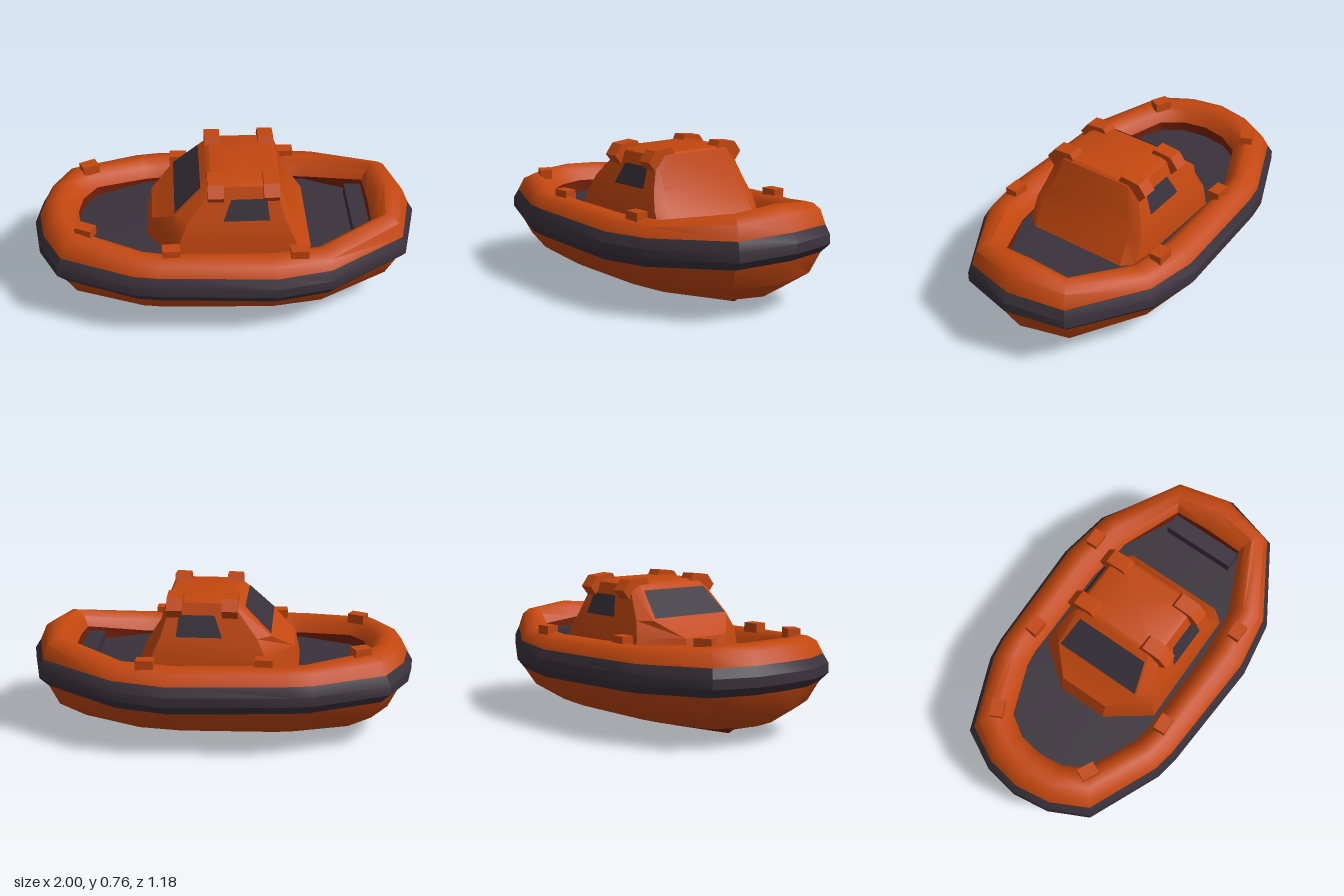
import * as THREE from 'three';
import { toCreasedNormals } from 'three/addons/utils/BufferGeometryUtils.js';

const mat = (name, color) => Object.assign(new THREE.MeshStandardMaterial({ color }), { name });

// Mirrors a half outline (from +x end round to -x end, both on z = 0 if closed) into a full loop
const mirrorLoop = (half) => [
  ...half,
  ...half.filter((p) => Math.abs(p.z) > 1e-6 || p.pair).reverse().map((p) => ({ ...p, z: -p.z, iz: -p.iz })),
];

// Skins a list of equal-length closed rings of [x, y, z]
function loft(rings, crease = 0.6) {
  const n = rings[0].length;
  const index = [];
  for (let j = 0; j < rings.length - 1; j++) {
    for (let i = 0; i < n; i++) {
      const k = (i + 1) % n;
      const a = j * n + i, b = j * n + k, c = b + n, d = a + n;
      index.push(a, d, c, a, c, b);
    }
  }
  const g = new THREE.BufferGeometry();
  g.setAttribute('position', new THREE.Float32BufferAttribute(rings.flat(2), 3));
  g.setIndex(index);
  return toCreasedNormals(g, crease);
}

// A thin pane laid on the face p00-p10-p11-p01, from u0..u1 (bottom, top) and v0..v1
function pane(p00, p10, p11, p01, [u0, u1], [v0, v1], lift = 0.006) {
  const at = (u, v) => p00.clone().lerp(p10, u).lerp(p01.clone().lerp(p11, u), v);
  const q = [at(u0, v0), at(u1, v0), at(u1, v1), at(u0, v1)];
  const normal = q[1].clone().sub(q[0]).cross(q[3].clone().sub(q[0])).normalize();
  if (normal.y < 0) normal.negate();
  q.forEach((p) => p.addScaledVector(normal, lift));
  const g = new THREE.BufferGeometry().setFromPoints(q);
  g.setIndex([0, 1, 2, 0, 2, 3]);
  g.computeVertexNormals();
  return g;
}

export function createModel() {
  const boat = new THREE.Group();
  boat.name = 'inflatableBoat';
  const orange = mat('orange', 0xc2470f);
  const dark = mat('darkGrey', 0x3a323b);
  const red = mat('darkRed', 0x7a220b);
  const glass = mat('windowGrey', 0x38313a);
  glass.side = THREE.DoubleSide;
  const add = (name, geometry, material, parent = boat) => {
    const m = new THREE.Mesh(geometry, material);
    m.name = name;
    parent.add(m);
    return m;
  };

  // Plan stations: outer x, z; inner x, z; sheer rise; tube top height
  const stations = mirrorLoop([
    [1.0, 0, 0.75, 0, 0.035, 0.55],
    [0.92, 0.3, 0.75, 0.2, 0.02, 0.528],
    [0.52, 0.545, 0.45, 0.34, 0, 0.465],
    [0.24, 0.592, 0.2, 0.37, -0.01, 0.46],
    [-0.37, 0.565, -0.33, 0.365, 0, 0.468],
    [-0.49, 0.545, -0.42, 0.35, 0, 0.472],
    [-0.87, 0.385, -0.68, 0.24, 0.01, 0.5],
    [-0.97, 0.19, -0.75, 0.13, 0.015, 0.505],
    [-1.0, 0, -0.77, 0, 0.02, 0.51],
  ].map(([x, z, ix, iz, dy, top]) => ({ x, z, ix, iz, dy, top })));

  const hullRing = (sx, sz, y, rise = 0) => stations.map((s) => [s.x * sx, y + rise * s.dy, s.z * sz]);
  const tubeRing = (t, yOf) => stations.map((s) => [
    THREE.MathUtils.lerp(s.x, s.ix, t), yOf(s), THREE.MathUtils.lerp(s.z, s.iz, t),
  ]);

  // Shallow V hull: dark bottom and orange sides
  const chine = hullRing(0.77, 0.6, 0.075);
  const hullTop = hullRing(0.95, 0.95, 0.255, 1);
  add('hullBottom', loft([hullRing(0.56, 0, 0.003), hullRing(0.6, 0.3, 0.03), chine]), red);
  add('hullSide', loft([chine, hullRing(0.9, 0.85, 0.165), hullTop]), orange);

  // Rubbing band round the widest line
  const bandTop = tubeRing(0.12, (s) => 0.398 + s.dy);
  add('rubbingBand', loft([
    hullTop,
    tubeRing(0, (s) => 0.3 + s.dy),
    tubeRing(0, (s) => 0.35 + s.dy),
    bandTop,
  ], 0.5), dark);

  // Inflated tube
  const innerLow = tubeRing(1, (s) => s.top - 0.085);
  add('tube', loft([
    bandTop,
    tubeRing(0.26, (s) => THREE.MathUtils.lerp(0.4 + s.dy, s.top, 0.68)),
    tubeRing(0.45, (s) => s.top - 0.006),
    tubeRing(0.65, (s) => s.top),
    tubeRing(0.86, (s) => s.top - 0.03),
    innerLow,
  ], 0.8), orange);
  const deckEdge = tubeRing(0.97, () => 0.36);
  add('tubeInnerWall', loft([innerLow, deckEdge]), red);

  // Deck and end bench
  add('deck', loft([deckEdge, stations.map(() => [0, 0.362, 0])]), dark);
  add('bench', new THREE.BoxGeometry(0.09, 0.06, 0.4), dark).position.set(0.7, 0.39, 0);

  // Cabin: faceted rings; each level lists back, back shoulder, front shoulder, nose as x, z
  const levels = [
    [0.36, [0.43, 0.27], [0.38, 0.335], [-0.25, 0.345], [-0.41, 0.13]],
    [0.475, [0.355, 0.265], [0.33, 0.328], [-0.24, 0.33], [-0.385, 0.135]],
    [0.56, [0.315, 0.25], [0.29, 0.3], [-0.2, 0.302], [-0.27, 0.245]],
    [0.725, [0.265, 0.2], [0.24, 0.24], [-0.07, 0.24], [-0.1, 0.2]],
    [0.737, [0.25, 0.18], [0.22, 0.21], [-0.06, 0.21], [-0.08, 0.18]],
  ];
  const cabin = new THREE.Group();
  cabin.name = 'cabin';
  boat.add(cabin);
  const cabinRings = levels.map(([y, ...pts]) =>
    mirrorLoop(pts.map(([x, z]) => ({ x, z }))).map((p) => [p.x, y, p.z]));
  cabinRings.push(cabinRings[0].map(() => [0.08, 0.737, 0]));
  add('cabinShell', loft(cabinRings, 0.45), orange, cabin);

  // Windows on the two sides and the sloped end
  const corner = (level, k, side) => {
    const [x, z] = levels[level][k + 1];
    return new THREE.Vector3(x, levels[level][0], z * side);
  };
  for (const side of [1, -1]) {
    add(side > 0 ? 'frontSideWindow' : 'backSideWindow', pane(
      corner(2, 2, side), corner(2, 1, side), corner(3, 1, side), corner(3, 2, side),
      [0.36, 0.84], [0.0, 0.64]), glass, cabin);
  }
  add('windshield', pane(
    corner(2, 3, -1), corner(2, 3, 1), corner(3, 3, 1), corner(3, 3, -1),
    [0.02, 0.98], [0.04, 0.82]), glass, cabin);

  // Four brackets wrapping the roof edges
  const bracket = new THREE.Shape([
    [0.135, 0.72], [0.16, 0.765], [0.262, 0.755], [0.305, 0.7], [0.265, 0.652], [0.22, 0.66],
  ].map(([z, y]) => new THREE.Vector2(z, y)));
  const bracketGeo = new THREE.ExtrudeGeometry(bracket, { depth: 0.08, bevelEnabled: false });
  bracketGeo.translate(0, 0, -0.04).rotateY(-Math.PI / 2);
  for (const x of [-0.06, 0.22]) {
    for (const side of [1, -1]) {
      const b = add('roofBracket', bracketGeo, orange, cabin);
      b.position.x = x;
      if (side < 0) b.rotation.y = Math.PI;
    }
  }

  // Small cleats along the tube: x, y, z, turn
  for (const [x, y, z, turn] of [
    [0.35, 0.47, 0.455, 0], [0.35, 0.47, -0.46, 0],
    [-0.29, 0.475, 0.43, 0.05], [-0.24, 0.475, -0.42, -0.05],
    [-0.72, 0.505, 0.27, -0.45], [-0.72, 0.505, -0.3, 0.45],
  ]) {
    const c = add('cleat', new THREE.BoxGeometry(0.09, 0.05, 0.065), orange);
    c.position.set(x, y, z);
    c.rotation.y = turn;
  }
  return boat;
}
